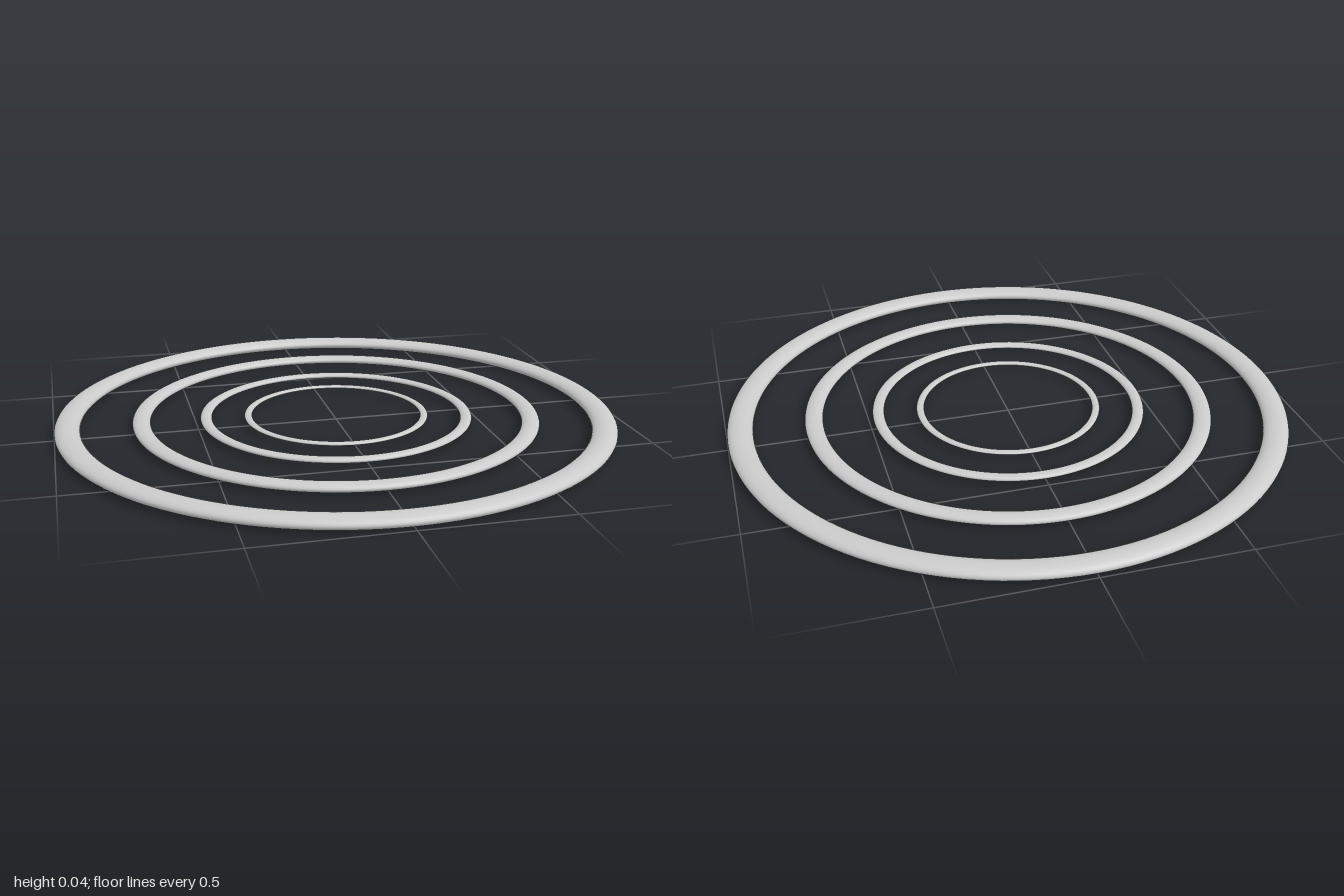
import * as THREE from 'three';

// name, centre-line radius, half width of the band
const RINGS = [
  ['outerRing', 0.955, 0.045],
  ['secondRing', 0.698, 0.032],
  ['thirdRing', 0.469, 0.0205],
  ['innerRing', 0.318, 0.0135],
];
const FLATTEN = 0.49; // height of each band relative to its width

export function createModel() {
  const model = new THREE.Group();
  model.name = 'concentricRings';
  const material = new THREE.MeshStandardMaterial({ color: 0xcccccc });
  const midHeight = RINGS[0][2] * FLATTEN;

  // Flattened tori lying level around a shared centre
  for (const [name, radius, halfWidth] of RINGS) {
    const geometry = new THREE.TorusGeometry(radius, halfWidth, 24, 128);
    geometry.rotateX(-Math.PI / 2);
    geometry.scale(1, FLATTEN, 1);
    const ring = new THREE.Mesh(geometry, material);
    ring.name = name;
    ring.position.y = midHeight;
    model.add(ring);
  }
  return model;
}
